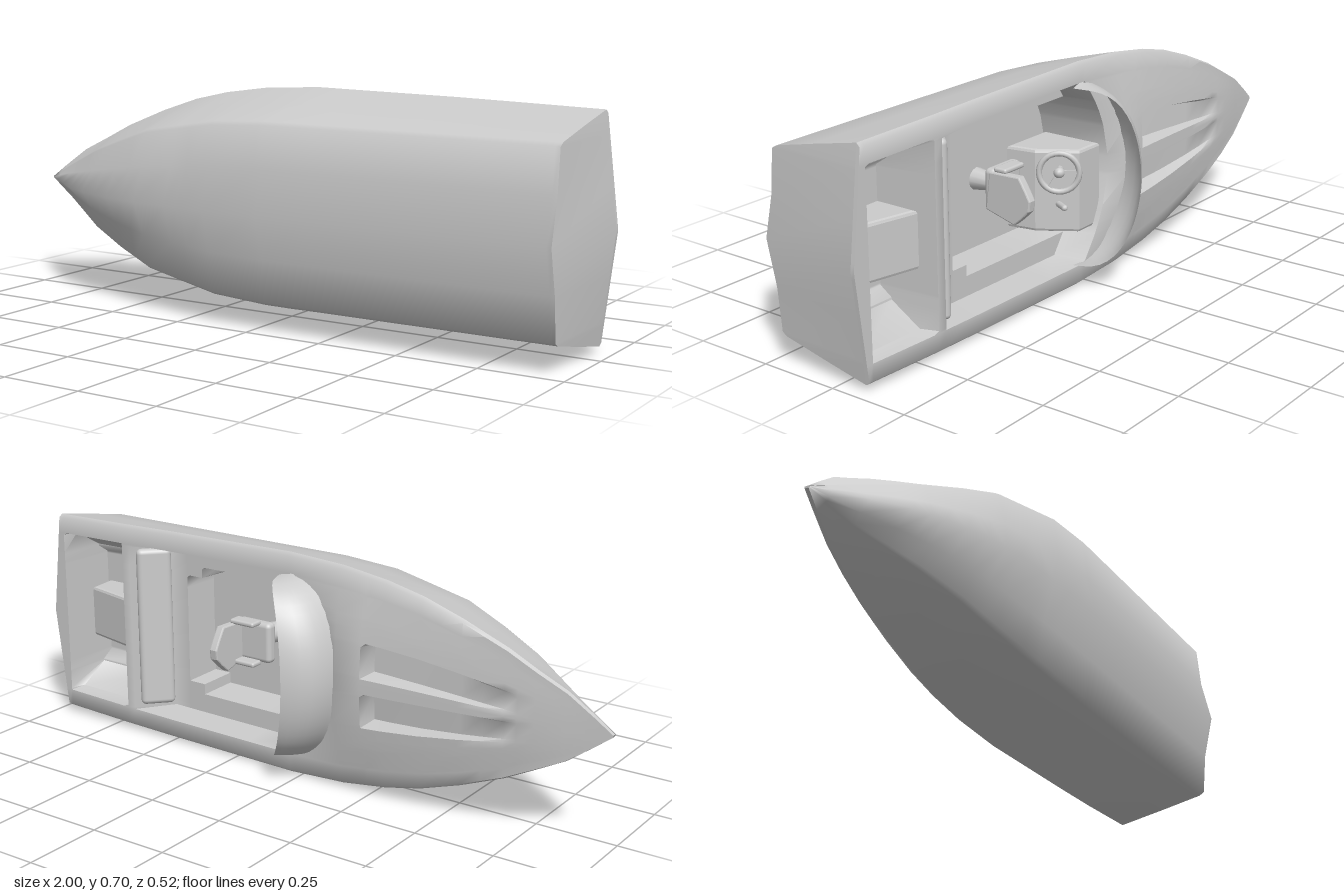
import * as THREE from 'three';
import { toCreasedNormals } from 'three/addons/utils/BufferGeometryUtils.js';
import { RoundedBoxGeometry } from 'three/addons/geometries/RoundedBoxGeometry.js';

const grey = new THREE.MeshStandardMaterial({ color: 0xcccccc, side: THREE.DoubleSide });

function add(parent, name, geometry, x = 0, y = 0, z = 0) {
  const mesh = new THREE.Mesh(geometry, grey);
  mesh.name = name;
  mesh.position.set(x, y, z);
  parent.add(mesh);
  return mesh;
}

// Skin over rows of [x, y, z] points
function skin(rows, crease) {
  const n = rows[0].length, index = [];
  for (let i = 0; i < rows.length - 1; i++) {
    for (let j = 0; j < n - 1; j++) {
      const a = i * n + j, b = a + n;
      index.push(a, b, b + 1, a, b + 1, a + 1);
    }
  }
  const g = new THREE.BufferGeometry();
  g.setAttribute('position', new THREE.Float32BufferAttribute(rows.flat(2), 3));
  g.setIndex(index);
  return toCreasedNormals(g, crease);
}

// Side profile pulled across the boat, centred on z = 0
function extrudeAcross(points, width) {
  const shape = new THREE.Shape(points.map(p => new THREE.Vector2(...p)));
  const g = new THREE.ExtrudeGeometry(shape, { depth: width, bevelSize: 0.01, bevelThickness: 0.01, bevelSegments: 2 });
  return g.translate(0, 0, -width / 2);
}

// Piecewise curve through [x, value] pairs
function along(table, x) {
  if (x <= table[0][0]) return table[0][1];
  for (let i = 1; i < table.length; i++) {
    const [x0, v0] = table[i - 1], [x1, v1] = table[i];
    if (x <= x1) return v0 + (v1 - v0) * (x - x0) / (x1 - x0);
  }
  return table[table.length - 1][1];
}

// Lines of the boat, bow at -x, upright with y up and z across
const beam = [[-1, 0.003], [-0.95, 0.042], [-0.87, 0.1], [-0.69, 0.191], [-0.55, 0.247], [-0.42, 0.29], [-0.3, 0.317], [-0.15, 0.338], [0.04, 0.348], [0.5, 0.341], [0.96, 0.33]];
const sheer = [[-1, 0.075], [-0.8, 0.098], [-0.6, 0.102], [0.7, 0.102], [0.96, 0.096]];
const keel = [[-1, 0.06], [-0.95, 0.02], [-0.87, -0.045], [-0.78, -0.115], [-0.69, -0.16], [-0.55, -0.212], [-0.42, -0.24], [-0.15, -0.259], [0.04, -0.261], [0.96, -0.261]];
const chineWidth = [[-1, 0.002], [-0.87, 0.058], [-0.69, 0.125], [-0.42, 0.212], [-0.15, 0.256], [0.04, 0.266], [0.96, 0.266]];
const chineHeight = [[-1, 0.062], [-0.87, 0.01], [-0.69, -0.085], [-0.55, -0.138], [-0.42, -0.172], [-0.15, -0.208], [0.04, -0.215], [0.96, -0.215]];
const crown = [[-0.92, 0], [-0.15, 0.042], [0.02, 0]];

const stations = [-1, -0.95, -0.87, -0.78, -0.73, -0.69, -0.62, -0.55, -0.48, -0.42, -0.3, -0.25, -0.235, -0.15,
  0.02, 0.04, 0.2, 0.35, 0.44, 0.45, 0.5, 0.51, 0.57, 0.66, 0.69, 0.71, 0.93, 0.945, 0.96];
const half = [0.07, 0.1, 0.36, 0.4, 0.5, 0.52, 0.6, 0.62, 0.8, 0.82, 0.97, 1];
const fractions = [...half].reverse().concat([0], half.map(f => -f));

function hullSection(x) {
  const w = along(beam, x), c = along(chineWidth, x), ch = along(chineHeight, x);
  const k = along(keel, x), top = along(sheer, x) - 0.012;
  const side = [
    [x, top, w],
    [x, top + (ch - top) * 0.5, c + (w - c) * 0.52],
    [x, top + (ch - top) * 0.96, c + (w - c) * 0.05],
    [x, ch - 0.004, c * 0.975],
    [x, k + (ch - k) * 0.66, c * 0.5],
  ];
  return [...side.map(([a, b, z]) => [a, b, -z]), [x, k, 0], ...side.reverse()];
}

// Height of the moulded deck with scoops, cockpit and stern well
function deckHeight(x, f) {
  const edge = along(sheer, x);
  if (f === 1) return edge - 0.012;
  if (x < 0.03) {
    const h = edge + along(crown, x) * Math.max(0, 1 - (f / 0.9) ** 2);
    const scoop = f >= 0.1 && f <= 0.36 && x > -0.73 && x < -0.24;
    return scoop ? h - 0.055 * (x + 0.76) / 0.5 : h;
  }
  if (f > 0.81) return edge;
  if (x < 0.58) {
    // U-shaped bench with clipped inner corners
    const sole = f <= (x < 0.445 ? 0.6 : 0.5) && x < 0.505;
    return sole ? -0.12 : 0;
  }
  if (x > 0.7 && x < 0.94) return f > 0.7 ? 0.05 : f > 0.59 ? -0.05 : -0.09;
  return edge;
}

function deckPoint(x, s) {
  const f = Math.abs(s);
  let px = x;
  if (x === 0.02 || x === 0.04) px -= 0.12 * Math.max(0, 1 - (f / 0.82) ** 2);
  if (x === 0.96) px = 1 - 0.04 * f;
  return [px, deckHeight(x, f), s * along(beam, x)];
}

// Captain's chair facing the bow
function makeSeat() {
  const seat = new THREE.Group();
  seat.name = 'helmSeat';
  add(seat, 'seatPedestal', new THREE.CylinderGeometry(0.022, 0.035, 0.09, 12), 0, -0.08, 0);
  add(seat, 'seatCushion', new RoundedBoxGeometry(0.13, 0.04, 0.13, 3, 0.015), 0, -0.02, 0);
  const s = new THREE.Shape();
  s.moveTo(-0.055, 0);
  s.lineTo(-0.07, 0.1);
  s.quadraticCurveTo(-0.035, 0.13, -0.012, 0.145);
  s.lineTo(0.016, 0.145);
  s.quadraticCurveTo(0.045, 0.125, 0.07, 0.1);
  s.lineTo(0.055, 0);
  const g = new THREE.ExtrudeGeometry(s, { depth: 0.018, bevelSize: 0.004, bevelThickness: 0.005, bevelSegments: 2 });
  const back = add(seat, 'seatBack', g, 0.045, -0.02, 0);
  back.rotation.set(0, Math.PI / 2, -0.12);
  for (const z of [-0.065, 0.065]) add(seat, 'armrest', new RoundedBoxGeometry(0.09, 0.045, 0.016, 2, 0.007), 0.015, 0.015, z);
  return seat;
}

// Wheel with three spokes
function makeWheel() {
  const wheel = new THREE.Group();
  wheel.name = 'steeringWheel';
  add(wheel, 'wheelRim', new THREE.TorusGeometry(0.06, 0.009, 8, 28));
  add(wheel, 'wheelHub', new THREE.SphereGeometry(0.017, 12, 8));
  for (let i = 0; i < 3; i++) {
    const a = i * Math.PI * 2 / 3 + Math.PI / 2;
    const spoke = add(wheel, 'wheelSpoke', new THREE.BoxGeometry(0.055, 0.013, 0.008), 0.03 * Math.cos(a), 0.03 * Math.sin(a), 0);
    spoke.rotation.z = a;
  }
  return wheel;
}

export function createModel() {
  const model = new THREE.Group();
  model.name = 'speedboat';
  const boat = new THREE.Group();
  boat.name = 'boat';
  boat.rotation.x = -Math.PI / 2;
  boat.position.y = 0.35;
  model.add(boat);

  add(boat, 'hull', skin(stations.map(hullSection), Math.PI));
  add(boat, 'deck', skin(stations.map(x => fractions.map(f => deckPoint(x, f))), 1));

  // Transom leaning out to a shallow point at the top
  const stern = hullSection(0.96);
  const rail = stern.map(([, , z]) => [1 - 0.04 * Math.abs(z) / 0.33, 0.084, z]);
  add(boat, 'transom', skin([stern, rail], 0.8));
  const lip = fractions.map(f => deckPoint(0.96, f)).reverse();
  add(boat, 'transomLip', skin([lip.map(([x, , z]) => [x, 0.084, z]), lip], 0.6));

  // Wraparound windscreen, its foot tucked inside the foredeck
  const screen = [];
  for (let i = 0; i <= 6; i++) {
    const row = [], t = i / 6;
    for (let j = 0; j <= 24; j++) {
      const a = -Math.PI / 2 + Math.PI * j / 24, c = Math.max(0, Math.cos(a));
      const low = [0.03 - 0.18 * c, 0.092 + 0.02 * c];
      const high = [0.075 - 0.12 * c, 0.1 + 0.162 * Math.pow(c, 0.55)];
      const bulge = 0.02 * Math.sin(Math.PI * t) * c;
      row.push([low[0] + (high[0] - low[0]) * t - bulge, low[1] + (high[1] - low[1]) * t + bulge, (0.283 - 0.008 * t) * Math.sin(a)]);
    }
    screen.push(row);
  }
  add(boat, 'windscreen', skin(screen, 1.2));

  // Helm console with a sloping face
  const face = [[-0.07, -0.11], [0.1, -0.11], [0.085, -0.03], [0.015, 0.075], [-0.07, 0.075]];
  add(boat, 'dashboard', extrudeAcross(face, 0.24), 0, 0, -0.06);
  const column = add(boat, 'steeringColumn', new THREE.CylinderGeometry(0.012, 0.012, 0.05, 10), 0.06, 0.04, 0.01);
  column.rotation.z = -0.97;
  const wheel = makeWheel();
  wheel.position.set(0.08, 0.053, 0.01);
  wheel.rotation.set(-0.6, Math.PI / 2, 0, 'YXZ');
  boat.add(wheel);
  const throttle = add(boat, 'throttleLever', new THREE.CapsuleGeometry(0.01, 0.05, 4, 8), 0.06, 0.045, -0.1);
  throttle.rotation.z = -0.5;

  const seat = makeSeat();
  seat.position.set(0.255, 0, 0.005);
  boat.add(seat);

  // Rear bench backrest, sloping down to the U-shaped bench
  const cushion = add(boat, 'benchBackrest', new RoundedBoxGeometry(0.04, 0.11, 0.52, 3, 0.016), 0.61, 0.045, 0);
  cushion.rotation.z = -0.75;

  // Engine cover in the stern well
  add(boat, 'engineCover', extrudeAcross([[-0.1, -0.1], [0.11, -0.1], [0.1, -0.01], [-0.1, 0.035]], 0.15), 0.81, 0, -0.015);

  return model;
}
